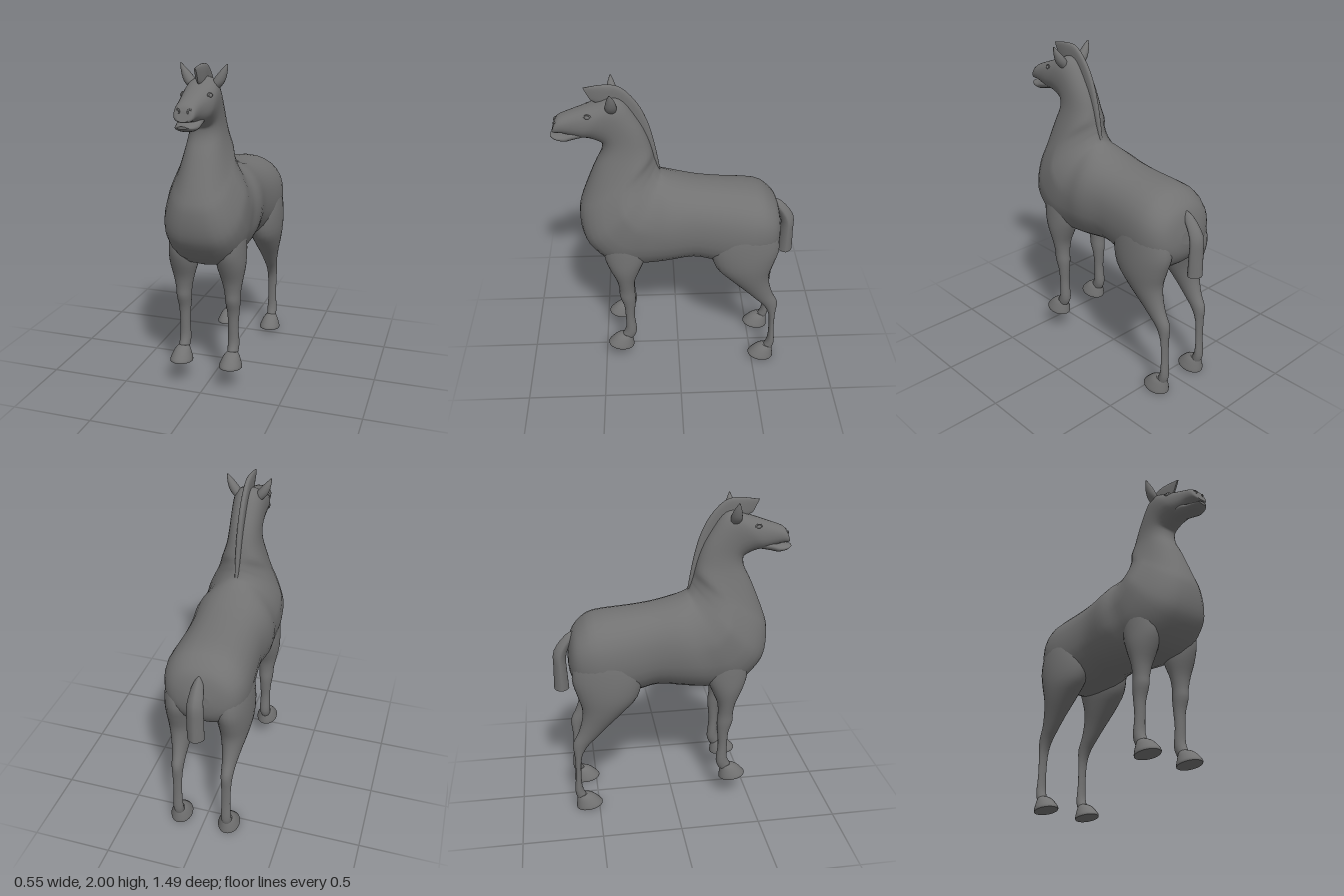
import * as THREE from 'three';

const coat = new THREE.MeshStandardMaterial({ color: 0x727272 });
coat.name = 'grey coat';

const SIDES = 28;

// Catmull-Rom blend between rows of ring values
function smoothRows(rows, steps) {
  const out = [];
  for (let i = 0; i < rows.length - 1; i++) {
    const a = rows[Math.max(i - 1, 0)], b = rows[i], c = rows[i + 1], d = rows[Math.min(i + 2, rows.length - 1)];
    for (let s = 0; s < steps; s++) {
      const t = s / steps;
      out.push(b.map((v, k) => v + 0.5 * t * (c[k] - a[k] + t * (2 * a[k] - 5 * v + 4 * c[k] - d[k]
        + t * (3 * (v - c[k]) + d[k] - a[k])))));
    }
  }
  out.push(rows[rows.length - 1]);
  return out;
}

// Skin over rings given as [z1, y1, z2, y2, halfWidth, xCentre, lowPower, highPower]: two opposite points in
// the side plane, a width, and how square the halves towards the second and first point are (lower is squarer)
function loft(name, rows, { side = 1, power = 1, dz = 0, dy = 0 } = {}) {
  const rings = smoothRows(rows.map(r => [...r.slice(0, 5), r[5] ?? 0, r[6] ?? power, r[7] ?? power]), 3);
  const pos = [], idx = [];
  const bend = (v, p) => Math.sign(v) * Math.pow(Math.abs(v), p);
  const addRing = ([z1, y1, z2, y2, w, x, low, high]) => {
    for (let j = 0; j < SIDES; j++) {
      const a = (j / SIDES) * Math.PI * 2, p = Math.sin(a) < 0 ? low : high;
      const c = bend(Math.cos(a), p), s = bend(Math.sin(a), p) / 2;
      pos.push(x * side + w * c, (y1 + y2) / 2 + (y1 - y2) * s + dy, (z1 + z2) / 2 + (z1 - z2) * s + dz);
    }
  };
  rings.forEach(addRing);
  for (let i = 0; i < rings.length - 1; i++) {
    for (let j = 0; j < SIDES; j++) {
      const k = (j + 1) % SIDES, a = i * SIDES, b = a + SIDES;
      idx.push(a + j, a + k, b + k, a + j, b + k, b + j);
    }
  }
  // flat end caps on their own vertices
  [rings[0], rings[rings.length - 1]].forEach((r, end) => {
    const start = pos.length / 3;
    addRing(r);
    pos.push(r[5] * side, (r[1] + r[3]) / 2 + dy, (r[0] + r[2]) / 2 + dz);
    for (let j = 0; j < SIDES; j++) {
      const p = start + j, q = start + (j + 1) % SIDES;
      if (end) idx.push(start + SIDES, p, q); else idx.push(start + SIDES, q, p);
    }
  });
  const geo = new THREE.BufferGeometry();
  geo.setAttribute('position', new THREE.Float32BufferAttribute(pos, 3));
  geo.setIndex(idx);
  geo.computeVertexNormals();
  const mesh = new THREE.Mesh(geo, coat);
  mesh.name = name;
  return mesh;
}

// Rump, barrel, chest, neck and head in one skin
const BODY = [
  [-0.645, 1.09, -0.65, 1.0, 0.07],
  [-0.62, 1.19, -0.635, 0.92, 0.165],
  [-0.57, 1.255, -0.57, 0.84, 0.23, 0, 0.82],
  [-0.48, 1.31, -0.42, 0.79, 0.262, 0, 0.8],
  [-0.25, 1.335, -0.23, 0.80, 0.245],
  [-0.1, 1.355, -0.09, 0.83, 0.24],
  [0.03, 1.39, 0.10, 0.805, 0.26, 0, 0.88, 0.95],
  [0.09, 1.42, 0.27, 0.79, 0.248, 0, 0.82, 1.05],
  [0.11, 1.44, 0.43, 0.82, 0.252, 0, 0.74, 1.2],
  [0.125, 1.48, 0.55, 0.94, 0.245, 0, 0.66, 1.35],
  [0.13, 1.5, 0.60, 1.04, 0.22, 0, 0.68, 1.3],
  [0.14, 1.53, 0.612, 1.17, 0.182, 0, 0.76, 1.15],
  [0.15, 1.57, 0.59, 1.27, 0.152],
  [0.165, 1.63, 0.51, 1.47, 0.117],
  [0.19, 1.70, 0.46, 1.57, 0.102],
  [0.23, 1.78, 0.45, 1.63, 0.098],
  [0.31, 1.90, 0.465, 1.65, 0.1],
  [0.38, 1.93, 0.52, 1.675, 0.103],
  [0.46, 1.90, 0.58, 1.685, 0.098],
  [0.60, 1.85, 0.64, 1.70, 0.076],
  [0.69, 1.815, 0.68, 1.712, 0.066],
  [0.715, 1.785, 0.725, 1.715, 0.056],
  [0.722, 1.765, 0.738, 1.72, 0.034],
];

const JAW = [
  [0.55, 1.75, 0.56, 1.68, 0.065],
  [0.62, 1.735, 0.62, 1.668, 0.07],
  [0.665, 1.715, 0.665, 1.658, 0.067],
  [0.72, 1.703, 0.715, 1.668, 0.052],
  [0.747, 1.70, 0.745, 1.684, 0.028],
];

const MANE = [
  [0.108, 1.44, 0.16, 1.46, 0.012],
  [0.14, 1.62, 0.20, 1.60, 0.017],
  [0.18, 1.77, 0.26, 1.73, 0.018],
  [0.24, 1.89, 0.32, 1.83, 0.018],
  [0.33, 1.983, 0.38, 1.88, 0.018],
  [0.42, 2.0, 0.44, 1.88, 0.018],
  [0.54, 1.985, 0.50, 1.905, 0.006],
];

const TAIL = [
  [-0.59, 1.12, -0.60, 1.205, 0.022],
  [-0.635, 1.10, -0.655, 1.18, 0.036],
  [-0.66, 1.03, -0.735, 1.075, 0.05],
  [-0.66, 0.95, -0.743, 0.95, 0.053],
  [-0.652, 0.81, -0.747, 0.81, 0.053],
];

const FRONT_LEG = [
  [0.42, 1.16, 0.28, 1.16, 0.04, 0.165],
  [0.46, 1.02, 0.22, 1.02, 0.074, 0.158],
  [0.47, 0.90, 0.21, 0.90, 0.088, 0.152],
  [0.445, 0.81, 0.245, 0.80, 0.088, 0.151],
  [0.402, 0.71, 0.282, 0.71, 0.067, 0.155],
  [0.387, 0.63, 0.29, 0.63, 0.051, 0.157],
  [0.386, 0.57, 0.284, 0.56, 0.047, 0.158],
  [0.362, 0.49, 0.288, 0.49, 0.038, 0.158],
  [0.355, 0.39, 0.295, 0.39, 0.032, 0.158],
  [0.357, 0.29, 0.284, 0.27, 0.036, 0.159],
  [0.39, 0.225, 0.303, 0.215, 0.032, 0.16],
];

const HIND_LEG = [
  [-0.33, 1.22, -0.54, 1.20, 0.045, 0.15],
  [-0.25, 1.09, -0.60, 1.09, 0.095, 0.155],
  [-0.20, 0.95, -0.635, 0.95, 0.115, 0.155],
  [-0.23, 0.81, -0.61, 0.84, 0.108, 0.163],
  [-0.32, 0.71, -0.582, 0.74, 0.088, 0.166],
  [-0.42, 0.61, -0.588, 0.65, 0.063, 0.165],
  [-0.50, 0.525, -0.615, 0.56, 0.045, 0.162],
  [-0.56, 0.46, -0.652, 0.48, 0.037, 0.16],
  [-0.60, 0.38, -0.645, 0.38, 0.031, 0.16],
  [-0.61, 0.25, -0.645, 0.25, 0.028, 0.16],
  [-0.605, 0.15, -0.655, 0.13, 0.033, 0.16],
  [-0.58, 0.09, -0.645, 0.08, 0.032, 0.16],
];

const HOOF = [
  [-0.575, 0.105, -0.64, 0.09, 0.032, 0.161],
  [-0.53, 0.085, -0.644, 0.065, 0.05, 0.161],
  [-0.483, 0.038, -0.65, 0.018, 0.069, 0.161],
  [-0.48, 0.022, -0.65, 0.0, 0.069, 0.161],
];

const EAR = [
  [0.355, 1.86, 0.41, 1.86, 0.028, 0.06],
  [0.35, 1.90, 0.418, 1.895, 0.037, 0.083],
  [0.36, 1.95, 0.408, 1.95, 0.025, 0.112],
  [0.383, 1.998, 0.39, 1.998, 0.004, 0.138],
];

export function createModel() {
  const model = new THREE.Group();
  model.name = 'horse';
  model.add(
    loft('body', BODY, { power: 0.88 }),
    loft('lowerJaw', JAW),
    loft('mane', MANE, { power: 0.7 }),
    loft('tail', TAIL, { power: 1.25 }),
  );

  for (const side of [1, -1]) {
    const tag = side > 0 ? 'left' : 'right';
    model.add(
      loft(tag + 'FrontLeg', FRONT_LEG, { side }),
      loft(tag + 'FrontHoof', HOOF, { side, dz: 0.956, dy: 0.14 }),
      loft(tag + 'HindLeg', HIND_LEG, { side }),
      loft(tag + 'HindHoof', HOOF, { side }),
      loft(tag + 'Ear', EAR, { side }),
    );

    // Eye with a raised lid
    const eye = new THREE.Group();
    eye.name = tag + 'Eye';
    const ball = new THREE.Mesh(new THREE.SphereGeometry(0.014, 14, 10), coat);
    const lid = new THREE.Mesh(new THREE.TorusGeometry(0.016, 0.005, 8, 18), coat);
    ball.name = 'eyeball';
    lid.name = 'eyelid';
    eye.add(ball, lid);
    eye.scale.set(1.2, 0.85, 1);
    eye.position.set(side * 0.08, 1.838, 0.52);
    eye.rotation.y = side * 1.3;
    model.add(eye);

    // Nostril rim
    const nostril = new THREE.Mesh(new THREE.TorusGeometry(0.012, 0.005, 8, 16), coat);
    nostril.name = tag + 'Nostril';
    nostril.position.set(side * 0.034, 1.775, 0.714);
    nostril.rotation.y = side * 0.6;
    model.add(nostril);
  }
  return model;
}
